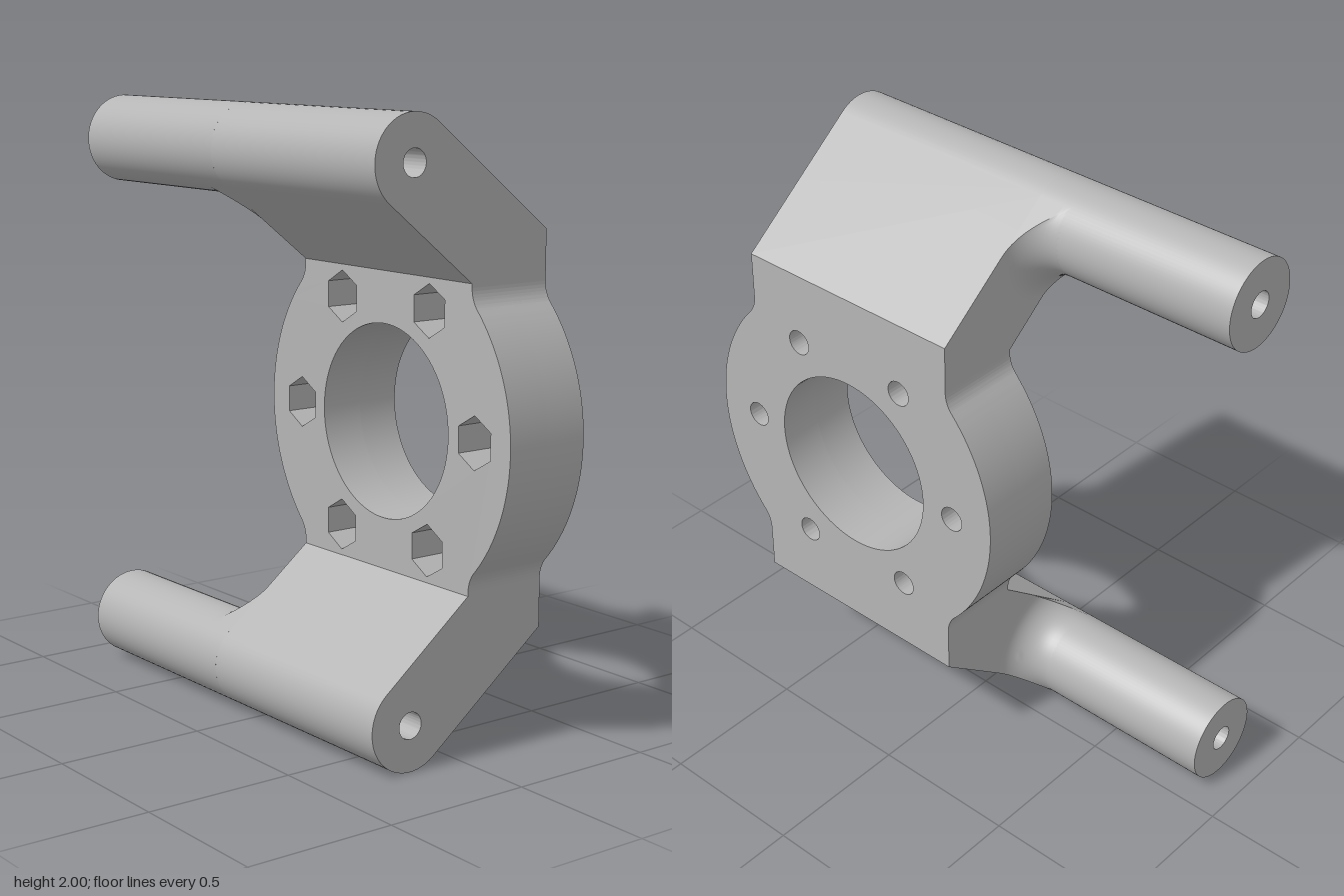
import * as THREE from 'three';
import { toCreasedNormals } from 'three/addons/utils/BufferGeometryUtils.js';

const R = 0.148, BORE = 0.043;                 // tube and small hole radii
const CX = -0.188, CY = 0.852;                 // tube centre, height measured from y = 1
const X0 = 0.037, X1 = 0.335;                  // plate faces
const ZC = 0.285, W = 0.4175, RING = 0.6;      // plate centre, half width, ring radius
const ZF = ZC + W, ZB = ZC - W, ZEND = -0.885; // front, back of arms, tube end
const BLEND = 0.12, EDGE = 0.1;                // fillet radii
const JOIN = 0.483;                            // half height of plate between the arms
const ANG = THREE.MathUtils.degToRad(38), C = Math.cos(ANG), S = Math.sin(ANG);

const metal = new THREE.MeshStandardMaterial({ color: 0xb5b5b5 });
metal.name = 'grey metal';

function part(name, geometry) {
  const mesh = new THREE.Mesh(toCreasedNormals(geometry, 0.45), metal);
  mesh.name = name;
  return mesh;
}

function extrude(shape, depth) {
  return new THREE.ExtrudeGeometry(shape, { depth, bevelEnabled: false, curveSegments: 40 });
}

function circle(x, y, r) {
  const p = new THREE.Path();
  p.absarc(x, y, r, 0, Math.PI * 2, false);
  return p;
}

// Ring plate outline with filleted shoulders, plus bore and six bolt holes
function plateShape(hexPockets) {
  const k = W + EDGE, dy = Math.sqrt((RING + EDGE) ** 2 - k * k);
  const a = Math.atan2(dy, k), PI = Math.PI;
  const s = new THREE.Shape();
  s.moveTo(-W, -JOIN);
  s.lineTo(W, -JOIN);
  s.absarc(k, -dy, EDGE, PI, PI - a, true);
  s.absarc(0, 0, RING, -a, a, false);
  s.absarc(k, dy, EDGE, PI + a, PI, true);
  s.lineTo(W, JOIN);
  s.lineTo(-W, JOIN);
  s.absarc(-k, dy, EDGE, 0, -a, true);
  s.absarc(0, 0, RING, PI - a, PI + a, false);
  s.absarc(-k, -dy, EDGE, a, 0, true);
  s.closePath();
  s.holes.push(circle(0, 0, 0.315));
  for (let i = 0; i < 6; i++) {
    const x = 0.4375 * Math.cos(i * PI / 3), y = 0.4375 * Math.sin(i * PI / 3);
    if (!hexPockets) { s.holes.push(circle(x, y, BORE)); continue; }
    const pts = [];
    for (let j = 0; j < 6; j++) {
      const t = PI / 2 + j * PI / 3;
      pts.push(new THREE.Vector2(x + 0.085 * Math.cos(t), y + 0.085 * Math.sin(t)));
    }
    s.holes.push(new THREE.Path(pts));
  }
  return s;
}

function plateLayer(name, hexPockets, xFrom, xTo) {
  const g = extrude(plateShape(hexPockets), xTo - xFrom);
  g.rotateY(-Math.PI / 2);
  g.translate(xTo, 1, ZC);
  return part(name, g);
}

// Arm, tube and blend; side = 1 for upper, -1 for lower
function arm(side) {
  const group = new THREE.Group();
  group.name = side > 0 ? 'upperArm' : 'lowerArm';
  const cy = 1 + CY * side;
  // u runs along the arm towards the plate, v across it
  const at = (u, v) => new THREE.Vector2(CX + C * u + S * v, cy + side * (C * v - S * u));

  // Slanted arm with rounded end
  const pts = [];
  for (let i = 0; i <= 32; i++) {
    const t = Math.PI / 2 + Math.PI * i / 32;
    pts.push(at(R * Math.cos(t), R * Math.sin(t)));
  }
  pts.push(new THREE.Vector2(X0, 1 + JOIN * side), new THREE.Vector2(X1, 1 + JOIN * side));
  pts.push(at((X1 - CX - S * R) / C, R));
  const shape = new THREE.Shape(pts);
  shape.holes.push(circle(CX, cy, BORE));
  group.add(part('slantedArm', extrude(shape, ZF - ZB).translate(0, 0, ZB)));

  // Tube reaching backwards
  const tube = new THREE.Shape();
  tube.absarc(CX, cy, R, 0, Math.PI * 2, false);
  tube.holes.push(circle(CX, cy, BORE));
  group.add(part('tube', extrude(tube, ZB - ZEND).translate(0, 0, ZEND)));

  // Concave blend around the tube, trimmed to the width of the arm
  const rows = 14, arc = 24, cols = arc + 3, pos = [], index = [];
  for (let i = 0; i <= rows; i++) {
    const t = (Math.PI / 2) * i / rows;
    const rho = R + BLEND * (1 - Math.cos(t));
    const z = ZB - BLEND + BLEND * Math.sin(t);
    const lim = Math.asin(Math.min(1, R / rho));
    const row = [at(0, -R)];
    for (let j = 0; j <= arc; j++) {
      const f = lim * (2 * j / arc - 1);
      row.push(at(rho * Math.cos(f), rho * Math.sin(f)));
    }
    row.push(at(0, R));
    row.forEach(p => pos.push(p.x, p.y, z));
  }
  for (let i = 0; i < rows; i++) {
    for (let j = 0; j < cols - 1; j++) {
      const a = i * cols + j, b = a + 1, c = a + cols, d = c + 1;
      if (side > 0) index.push(a, b, c, b, d, c);
      else index.push(a, c, b, b, c, d);
    }
  }
  const g = new THREE.BufferGeometry();
  g.setAttribute('position', new THREE.Float32BufferAttribute(pos, 3));
  g.setIndex(index);
  group.add(part('tubeBlend', g));
  return group;
}

export function createModel() {
  const model = new THREE.Group();
  model.name = 'bracket';
  const mid = (X0 + X1) / 2;
  model.add(plateLayer('ringPlateOuter', false, mid, X1));
  model.add(plateLayer('ringPlateNutPockets', true, X0, mid));
  model.add(arm(1), arm(-1));
  return model;
}
